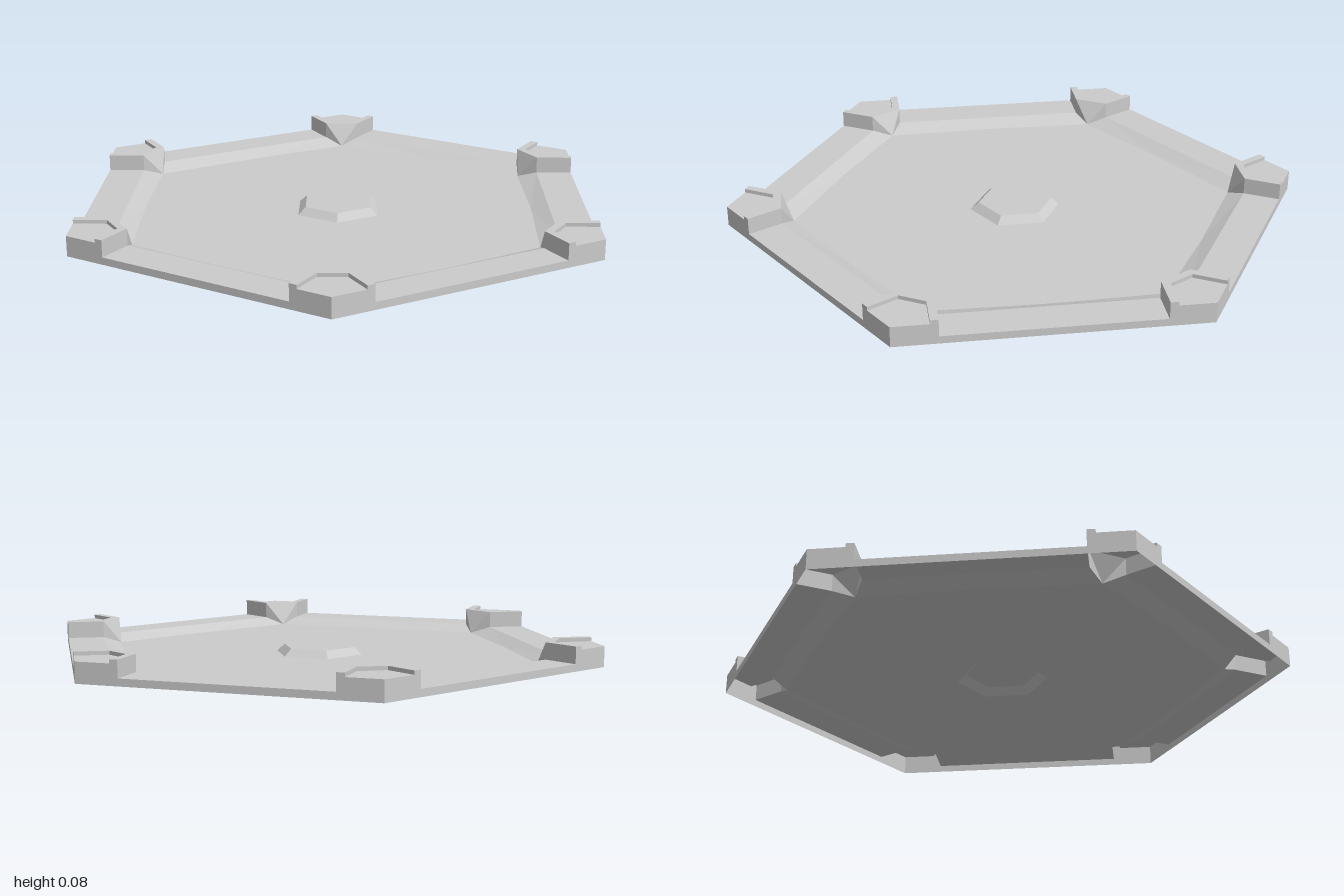
import * as THREE from 'three';

const COS30 = Math.sqrt(3) / 2;
const RIM = 0.025, TOP = 0.083, POCKET = 0.07, FLOOR = 0;

const material = new THREE.MeshStandardMaterial({
  color: 0xcccccc, flatShading: true, side: THREE.DoubleSide,
});

// Mesh from flat polygons, each fanned from its first corner
function polygonMesh(name, polygons) {
  const positions = [];
  for (const p of polygons) {
    for (let i = 1; i < p.length - 1; i++) positions.push(...p[0], ...p[i], ...p[i + 1]);
  }
  const geometry = new THREE.BufferGeometry();
  geometry.setAttribute('position', new THREE.Float32BufferAttribute(positions, 3));
  geometry.computeVertexNormals();
  const mesh = new THREE.Mesh(geometry, material);
  mesh.name = name;
  return mesh;
}

const at = ([x, z], y) => [x, y, z];
const flip = ([x, z]) => [x, -z];
const wall = (p, q, y0, y1) => [at(p, y0), at(q, y0), at(q, y1), at(p, y1)];

// Plan points of one side: [distance out from centre, distance along the edge]
const EDGE = [COS30, 0.353];        // where a corner block meets the outer edge
const CREASE = [0.738, 0.353];      // inner edge of the rim
const TOE = [0.776 * COS30, 0.388]; // floor corner
const TOE_MID = [0.682, 0];         // middle of the floor edge
const BOSS_BASE = [0.137, 0.137 / Math.sqrt(3)];
const BOSS_TOP = [0.112, 0.112 / Math.sqrt(3)];

// Same point seen from the axis through the neighbouring corner
const toCorner = ([d, s]) => [d * COS30 + s / 2, d / 2 - s * COS30];

// One sixth of the thin tray
function createSide() {
  const side = new THREE.Group();
  side.name = 'traySide';
  side.add(
    polygonMesh('outerWall', [wall(EDGE, flip(EDGE), 0, RIM)]),
    polygonMesh('rim', [
      [EDGE, flip(EDGE), flip(CREASE), CREASE].map((p) => at(p, RIM)),
    ]),
    polygonMesh('innerSlope', [[
      at(TOE_MID, FLOOR), at(TOE, FLOOR), at(CREASE, RIM),
      at(flip(CREASE), RIM), at(flip(TOE), FLOOR),
    ]]),
    polygonMesh('floor', [
      [TOE_MID, flip(TOE), flip(BOSS_BASE), BOSS_BASE, TOE].map((p) => at(p, FLOOR)),
    ]),
    polygonMesh('centreBoss', [
      [at(BOSS_BASE, FLOOR), at(flip(BOSS_BASE), FLOOR),
        at(flip(BOSS_TOP), RIM), at(BOSS_TOP, RIM)],
      [at(BOSS_TOP, RIM), at(flip(BOSS_TOP), RIM), [0, RIM, 0]],
    ]),
  );
  return side;
}

// Hollow corner block with a raised lip around a shallow pocket
function createCorner() {
  const a = toCorner(EDGE), b = toCorner(CREASE), c = toCorner(TOE);
  const a2 = toCorner([COS30, 0.38]), b2 = toCorner([0.753, 0.38]);
  const tip = [1, 0];
  const outer = [a, b, flip(b), flip(a)];
  const inner = [a2, b2, flip(b2), flip(a2)];

  const lip = [wall(a, a2, POCKET, TOP), wall(flip(a2), flip(a), POCKET, TOP)];
  for (let i = 0; i < 3; i++) {
    lip.push([outer[i], inner[i], inner[i + 1], outer[i + 1]].map((p) => at(p, TOP)));
    lip.push(wall(inner[i], inner[i + 1], POCKET, TOP));
  }

  const corner = new THREE.Group();
  corner.name = 'cornerBlock';
  corner.add(
    polygonMesh('cornerLip', lip),
    polygonMesh('cornerPocket', [
      [tip, flip(a2), flip(b2), b2, a2].map((p) => at(p, POCKET)),
    ]),
    polygonMesh('cornerWalls', [
      wall(a, tip, 0, POCKET),
      wall(tip, flip(a), 0, POCKET),
      wall(b, a, RIM, TOP),
      wall(flip(a), flip(b), RIM, TOP),
    ]),
    // Sloped inner face and its two cheeks
    polygonMesh('cornerSlope', [
      [at(b, TOP), at(flip(b), TOP), at(c, FLOOR)],
      [at(c, FLOOR), at(b, RIM), at(b, TOP)],
      [at(flip(b), RIM), at(c, FLOOR), at(flip(b), TOP)],
    ]),
  );
  return corner;
}

export function createModel() {
  const model = new THREE.Group();
  model.name = 'hexagonalTray';
  for (let i = 0; i < 6; i++) {
    const corner = createCorner();
    corner.rotation.y = i * Math.PI / 3;
    const side = createSide();
    side.rotation.y = (i + 0.5) * Math.PI / 3;
    model.add(corner, side);
  }
  return model;
}
